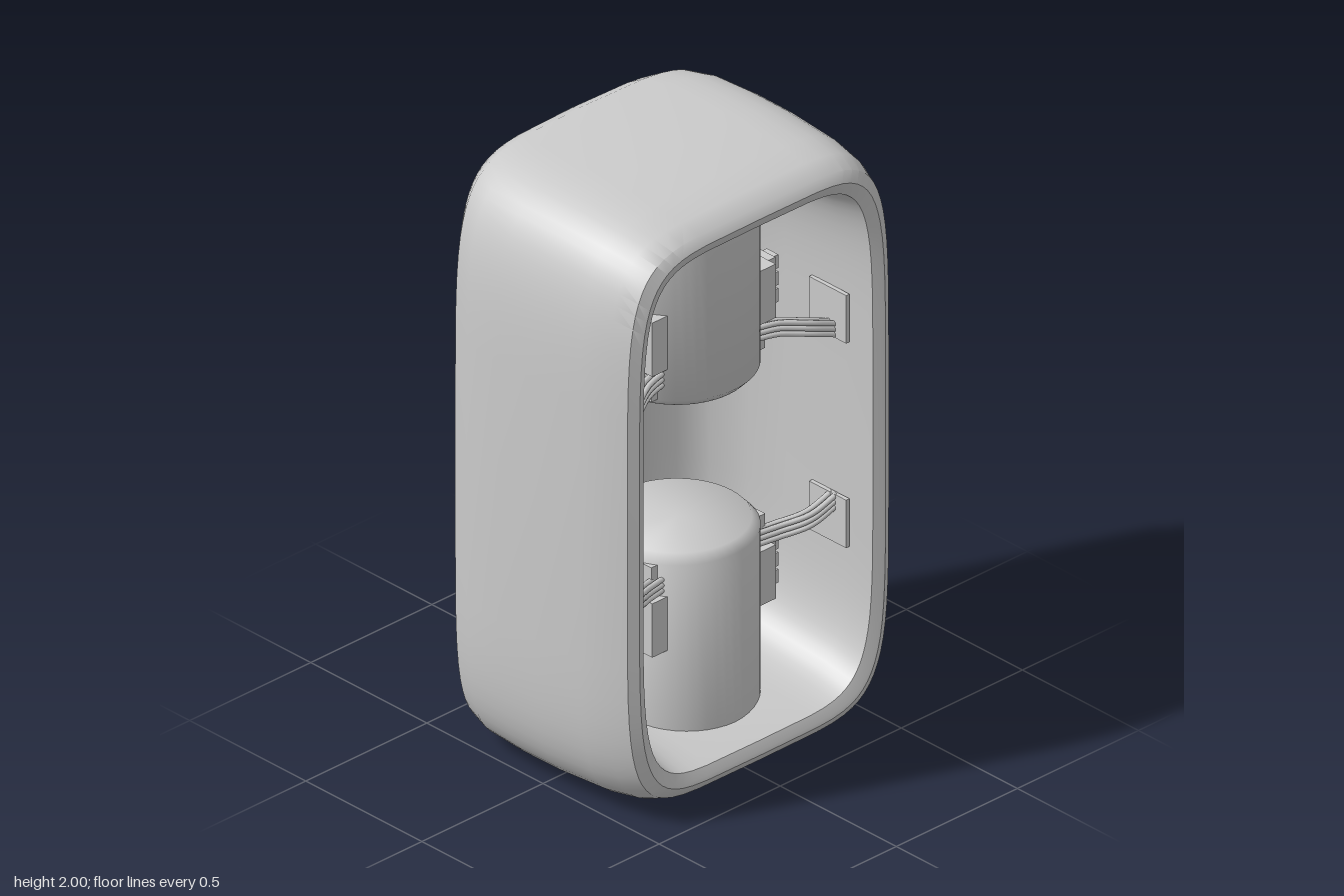
import * as THREE from 'three';
import { toCreasedNormals } from 'three/addons/utils/BufferGeometryUtils.js';

const material = new THREE.MeshStandardMaterial({ color: 0xcccccc, roughness: 0.8 });

function add(parent, name, geometry, x = 0, y = 0, z = 0) {
  const mesh = new THREE.Mesh(geometry, material);
  mesh.name = name;
  mesh.position.set(x, y, z);
  parent.add(mesh);
  return mesh;
}

// Housing: rounded-rectangle rings running from the back, round the rim, and into the cavity.
// Each ring is [x, half width in z, half height, bow of the ring across z].
function housingGeometry() {
  const rings = [
    [-0.425, 0, 0, 0.15], [-0.425, 0.2, 0.5, 0.15], [-0.425, 0.32, 0.8, 0.15],
    [-0.423, 0.4, 0.9, 0.15], [-0.398, 0.5, 0.96, 0.1], [-0.35, 0.557, 0.985, 0.1],
    [-0.26, 0.583, 0.995, 0.05], [-0.1, 0.59, 1, 0], [0.05, 0.588, 1, 0],
    [0.24, 0.578, 0.99, 0], [0.34, 0.562, 0.975, 0], [0.405, 0.54, 0.952, 0],
    [0.424, 0.508, 0.922, 0], [0.42, 0.5, 0.91, 0], [0.405, 0.474, 0.885, 0],
    [0.3, 0.465, 0.86, 0], [0.05, 0.456, 0.832, 0], [-0.1, 0.445, 0.81, 0],
    [-0.22, 0.4, 0.77, 0], [-0.29, 0.33, 0.7, 0], [-0.315, 0.2, 0.52, 0], [-0.32, 0, 0, 0],
  ];
  const sides = 64, positions = [], index = [];
  const soften = (v) => Math.sign(v) * Math.pow(Math.abs(v), 2 / 5.8);
  for (const [x, a, b, bow] of rings) {
    for (let i = 0; i < sides; i++) {
      const t = (i / sides) * Math.PI * 2;
      const z = a * soften(Math.cos(t));
      positions.push(x + bow * z * z, 1 + b * soften(Math.sin(t)), z);
    }
  }
  for (let j = 0; j < rings.length - 1; j++) {
    for (let i = 0; i < sides; i++) {
      const p = j * sides + i, q = j * sides + (i + 1) % sides;
      if (j === 0) {
        index.push(p, p + sides, q + sides);
      } else {
        index.push(p, p + sides, q);
        if (j < rings.length - 2) index.push(q, p + sides, q + sides);
      }
    }
  }
  const geometry = new THREE.BufferGeometry();
  geometry.setAttribute('position', new THREE.Float32BufferAttribute(positions, 3));
  geometry.setIndex(index);
  return toCreasedNormals(geometry, 0.7);
}

// Connector block, plugs, wall plate and wire bundle for one side of one canister
function addWiring(parent, up, side) {
  const group = new THREE.Group();
  group.name = 'wiring';
  parent.add(group);
  const y = (v) => 1 + up * v;
  const box = (name, w, h, d, px, py, pz) =>
    add(group, name, new THREE.BoxGeometry(w, h, d), px, y(py), side * pz);

  box('connectorBlock', 0.15, 0.185, 0.065, 0.14, 0.483, 0.2225);
  box('wireSocket', 0.12, 0.08, 0.04, 0.13, 0.325, 0.215);
  for (let i = 0; i < 3; i++) {
    box('plug', 0.07, 0.054, 0.04, 0.14, 0.425 + i * 0.058, 0.272);
    box('plugTip', 0.05, 0.046, 0.022, 0.14, 0.425 + i * 0.058, 0.303);
  }
  box('wallPlate', 0.16, 0.165, 0.014, 0.24, 0.352, 0.452);

  for (let i = 0; i < 6; i++) {
    const dx = (i % 2) * 0.022, dy = Math.floor(i / 2) * 0.019;
    const path = new THREE.CatmullRomCurve3([
      [0.175 + dx, 0.335 + dy, 0.19], [0.195 + dx, 0.33 + dy, 0.27],
      [0.235 + dx, 0.31 + dy, 0.36], [0.245 + dx, 0.275 + dy, 0.455],
    ].map(([px, py, pz]) => new THREE.Vector3(px, y(py), side * pz)));
    add(group, 'wire', new THREE.TubeGeometry(path, 14, 0.009, 8));
  }
}

export function createModel() {
  const model = new THREE.Group();
  model.name = 'openHousing';
  add(model, 'housing', housingGeometry());

  // A canister grows from the floor and another from the ceiling
  const profile = [[0, 0.255], [0.224, 0.255], [0.25, 0.283], [0.25, 0.88], [0, 0.88]]
    .map(([r, h]) => new THREE.Vector2(r, h));
  for (const up of [1, -1]) {
    const canister = toCreasedNormals(new THREE.LatheGeometry(profile, 48), 0.9);
    if (up < 0) canister.rotateX(Math.PI);
    add(model, up > 0 ? 'upperCanister' : 'lowerCanister', canister, 0.055, 1, 0);
    for (const side of [1, -1]) addWiring(model, up, side);
  }
  return model;
}
